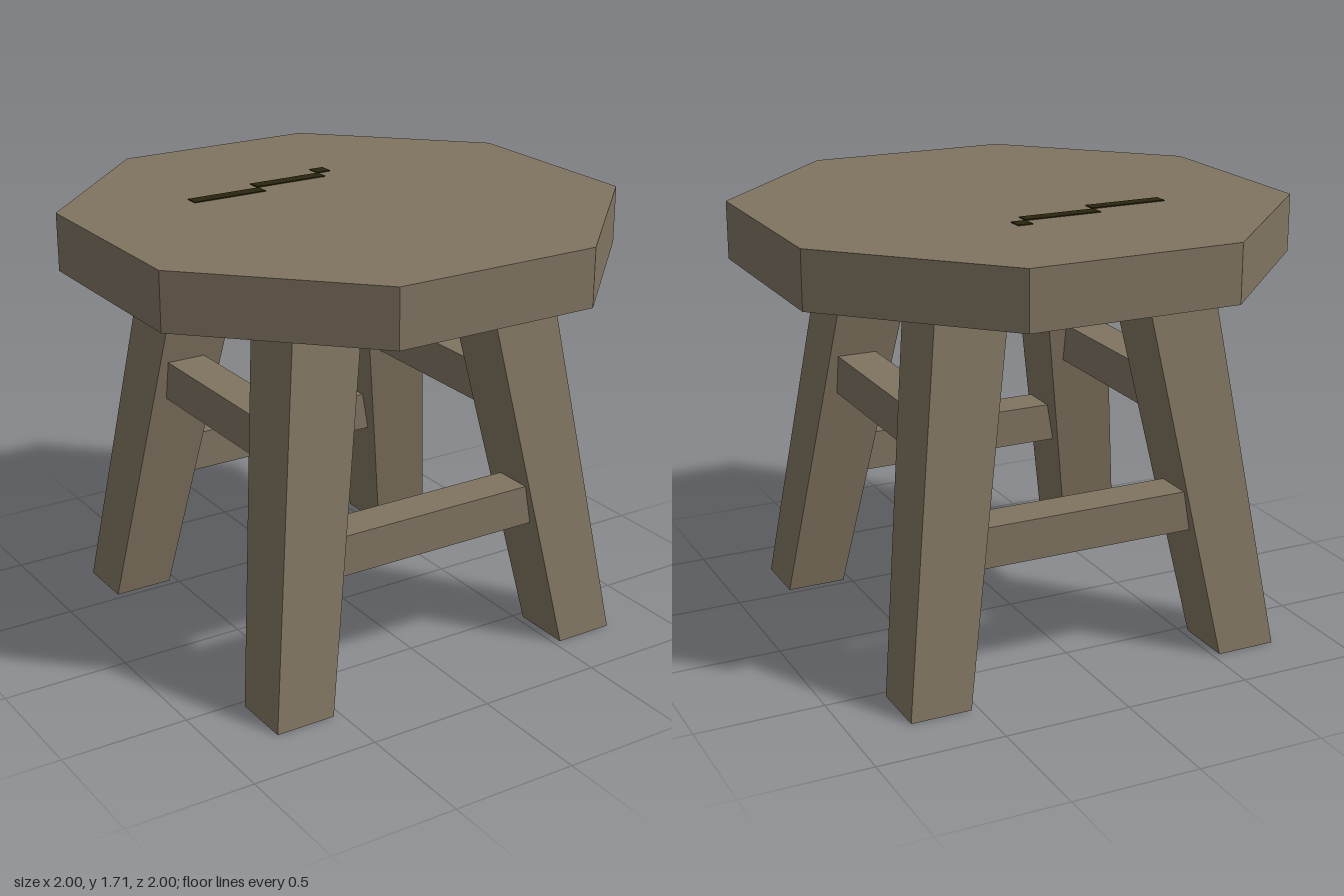
import * as THREE from 'three';

const LEG_TOP = 1.48, SEAT_TOP = 1.705;

// Splayed square leg, open at both ends, leaning outward toward (sx, sz)
function legGeometry(sx, sz) {
  const g = new THREE.CylinderGeometry(0.145 * Math.SQRT2, 0.12 * Math.SQRT2, LEG_TOP, 4, 1, true, Math.PI / 4);
  g.translate(0, LEG_TOP / 2, 0);
  const p = g.attributes.position;
  for (let i = 0; i < p.count; i++) {
    const offset = THREE.MathUtils.lerp(0.65, 0.42, p.getY(i) / LEG_TOP);
    p.setX(i, p.getX(i) + sx * offset);
    p.setZ(i, p.getZ(i) + sz * offset);
  }
  g.computeVertexNormals();
  return g;
}

export function createModel() {
  const stool = new THREE.Group();
  stool.name = 'stool';
  const wood = new THREE.MeshStandardMaterial({ color: 0x807461, flatShading: true, side: THREE.DoubleSide });
  wood.name = 'weathered wood';
  const dark = new THREE.MeshStandardMaterial({ color: 0x29240f, flatShading: true });
  dark.name = 'dark crack';

  const add = (parent, name, geometry, material, x = 0, y = 0, z = 0) => {
    const mesh = new THREE.Mesh(geometry, material);
    mesh.name = name;
    mesh.position.set(x, y, z);
    parent.add(mesh);
  };

  // Octagonal seat: top board and rim, hollow underneath
  const seat = new THREE.Group();
  seat.name = 'seat';
  stool.add(seat);
  const radius = 1 / Math.cos(Math.PI / 8);
  const rimHeight = SEAT_TOP - LEG_TOP;
  add(seat, 'seatTop', new THREE.CircleGeometry(radius, 8, Math.PI / 8).rotateX(-Math.PI / 2), wood, 0, SEAT_TOP, 0);
  add(seat, 'seatRim', new THREE.CylinderGeometry(radius, radius, rimHeight, 8, 1, true, Math.PI / 8),
    wood, 0, LEG_TOP + rimHeight / 2, 0);

  // Stepped crack across the seat, showing on both faces of the board
  for (const [x, z, w, d] of [[-0.345, -0.283, 0.31, 0.055], [-0.035, -0.348, 0.31, 0.055], [0.152, -0.41, 0.06, 0.06]]) {
    add(seat, 'seatCrack', new THREE.BoxGeometry(w, 0.008, d), dark, x, SEAT_TOP, z);
  }

  // Four legs
  for (const sx of [-1, 1]) {
    for (const sz of [-1, 1]) add(stool, 'leg', legGeometry(sx, sz), wood);
  }

  // Low rungs front and back, higher rungs at the sides
  for (const s of [-1, 1]) {
    add(stool, 'lowRung', new THREE.BoxGeometry(0.98, 0.16, 0.16), wood, 0, 0.575, s * 0.575);
    add(stool, 'sideRung', new THREE.BoxGeometry(0.16, 0.16, 0.86), wood, s * 0.51, 0.97, 0);
  }
  return stool;
}
